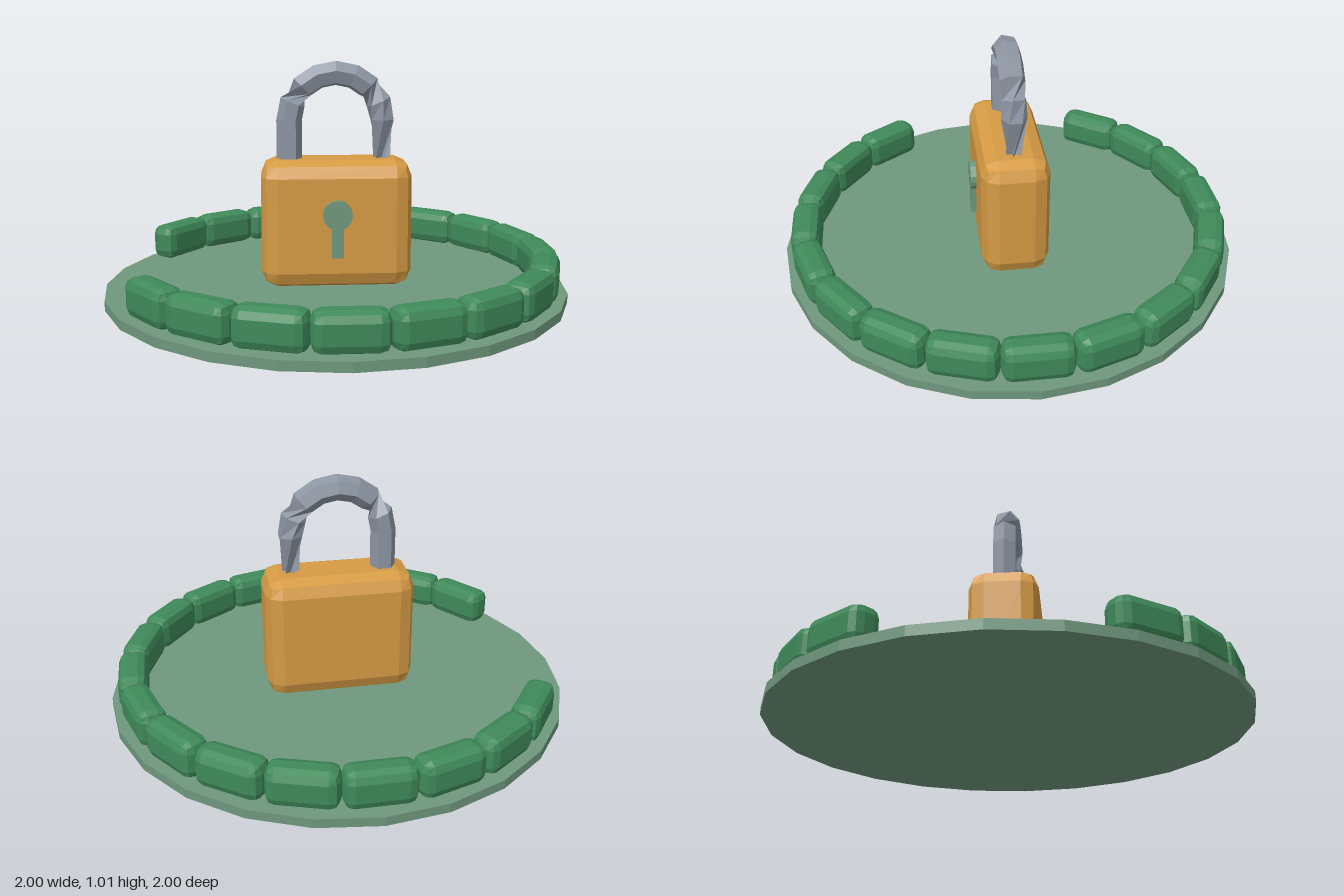
import * as THREE from 'three';

const paint = (name, color) => {
  const m = new THREE.MeshStandardMaterial({ color });
  m.name = name;
  return m;
};

// Faceted look: every triangle keeps its own normal
function faceted(geometry) {
  const g = geometry.index ? geometry.toNonIndexed() : geometry;
  g.computeVertexNormals();
  return g;
}

// Box whose edges are rounded by two flat facets of radius r
function softBox(w, h, d, r) {
  const g = new THREE.BoxGeometry(1, 1, 1, 3, 3, 3);
  const p = g.attributes.position;
  const core = new THREE.Vector3(w / 2 - r, h / 2 - r, d / 2 - r);
  const v = new THREE.Vector3();
  const edge = (c) => (Math.abs(c) > 0.4 ? Math.sign(c) : 0);
  for (let i = 0; i < p.count; i++) {
    v.fromBufferAttribute(p, i);
    const signs = new THREE.Vector3(Math.sign(v.x), Math.sign(v.y), Math.sign(v.z));
    v.set(edge(v.x), edge(v.y), edge(v.z)).normalize().multiplyScalar(r);
    v.add(signs.multiply(core));
    p.setXYZ(i, v.x, v.y, v.z);
  }
  return faceted(g);
}

// Six-sided bar swept over an arch, with a twist given per ring
function shackleGeometry(radius, sides) {
  const archR = 0.2, archY = 0.755;
  const rings = [{ x: -archR, y: 0.45, a: Math.PI, twist: 0 }];
  const archTwist = [0, 0, 1.35, 1.35, 1.35, 1.35, 1.35, 2.3, 2.6];
  archTwist.forEach((twist, i) => {
    const a = Math.PI * (1 - i / 8);
    rings.push({ x: archR * Math.cos(a), y: archY + archR * Math.sin(a), a, twist });
  });
  rings.push({ x: archR, y: 0.42, a: 0, twist: 4.25 });

  const pos = [], index = [];
  rings.forEach(({ x, y, a, twist }, k) => {
    for (let j = 0; j < sides; j++) {
      const t = (j / sides) * Math.PI * 2 + twist;
      const out = radius * Math.cos(t);
      pos.push(x + out * Math.cos(a), y + out * Math.sin(a), radius * Math.sin(t));
      if (k === rings.length - 1) continue;
      const n = (j + 1) % sides;
      const p = k * sides + j, q = k * sides + n;
      index.push(p, q, q + sides, p, q + sides, p + sides);
    }
  });
  const g = new THREE.BufferGeometry();
  g.setAttribute('position', new THREE.Float32BufferAttribute(pos, 3));
  g.setIndex(index);
  return faceted(g);
}

export function createModel() {
  const model = new THREE.Group();
  const sage = paint('sage green', 0x6f987e);
  const hedgeGreen = paint('hedge green', 0x3f8a5a);
  const brass = paint('brass', 0xd69b44);
  const steel = paint('steel', 0x8d96a3);

  const add = (name, geometry, material, x, y, z, parent = model) => {
    const mesh = new THREE.Mesh(geometry, material);
    mesh.name = name;
    mesh.position.set(x, y, z);
    parent.add(mesh);
    return mesh;
  };

  // Round base
  add('base', faceted(new THREE.CylinderGeometry(1, 1, 0.04, 24)), sage, 0, 0.02, 0);

  // Ring of hedge blocks, open on the right side
  const hedge = new THREE.Group();
  hedge.name = 'hedgeRing';
  model.add(hedge);
  const block = softBox(0.125, 0.16, 0.285, 0.04);
  for (let i = -8; i <= 8; i++) {
    const a = (i * Math.PI) / 10;
    const m = add('hedgeBlock', block, hedgeGreen, 0.9 * Math.cos(a), 0.12, 0.9 * Math.sin(a), hedge);
    m.rotation.y = -a;
  }

  // Padlock
  const lock = new THREE.Group();
  lock.name = 'padlock';
  model.add(lock);
  add('lockBody', softBox(0.645, 0.55, 0.29, 0.07), brass, 0, 0.315, 0, lock);
  add('shackle', shackleGeometry(0.055, 6), steel, 0, 0, 0, lock);

  // Raised keyhole on the front
  const disc = add('keyholeDisc', faceted(new THREE.CylinderGeometry(0.063, 0.063, 0.04, 16)), sage, 0, 0.367, 0.15, lock);
  disc.rotation.x = Math.PI / 2;
  add('keyholeSlot', new THREE.BoxGeometry(0.05, 0.15, 0.036), sage, 0, 0.258, 0.15, lock);

  return model;
}
